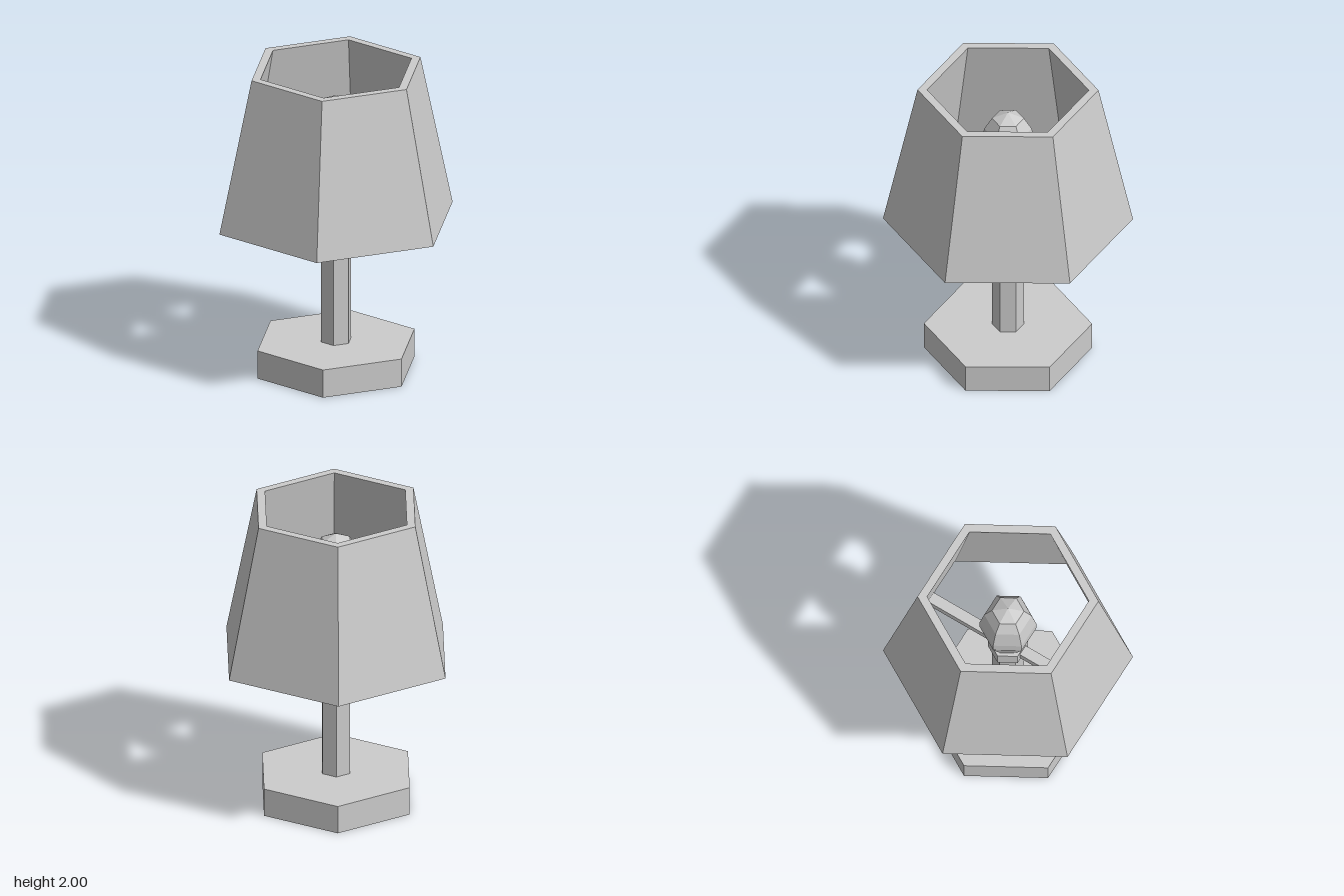
import * as THREE from 'three';

const material = new THREE.MeshStandardMaterial({
  color: 0xcccccc, flatShading: true, side: THREE.DoubleSide,
});

// Six-sided part turned from a [radius, height] profile, with corners on the x axis
function hexPart(name, profile) {
  const points = profile.map(([r, y]) => new THREE.Vector2(r, y));
  const mesh = new THREE.Mesh(new THREE.LatheGeometry(points, 6, Math.PI / 2), material);
  mesh.name = name;
  return mesh;
}

export function createModel() {
  const lamp = new THREE.Group();
  lamp.name = 'tableLamp';

  // Hollow foot, open underneath, with a hole where the pole meets it
  lamp.add(hexPart('base', [[0.525, 0], [0.525, 0.185], [0.1, 0.185]]));

  // Hollow pole and the collar that carries the bulb
  lamp.add(hexPart('pole', [[0.1, 0.185], [0.1, 1.15]]));
  lamp.add(hexPart('collar', [[0.1, 1.13], [0.125, 1.13], [0.125, 1.25], [0, 1.25]]));

  // Faceted bulb
  lamp.add(hexPart('bulb', [
    [0.1, 1.25], [0.177, 1.48], [0.177, 1.56], [0.148, 1.7], [0.1, 1.78], [0, 1.825],
  ]));

  // Thick tapered shade, open at both ends
  lamp.add(hexPart('shade', [
    [0.697, 1], [0.78, 1], [0.565, 2], [0.505, 2], [0.697, 1],
  ]));

  // Two arms holding the shade, front and back
  for (const side of [1, -1]) {
    const arm = new THREE.Mesh(new THREE.BoxGeometry(0.07, 0.06, 0.49), material);
    arm.name = side > 0 ? 'frontArm' : 'backArm';
    arm.position.set(0, 1.19, side * 0.335);
    lamp.add(arm);
  }

  return lamp;
}
